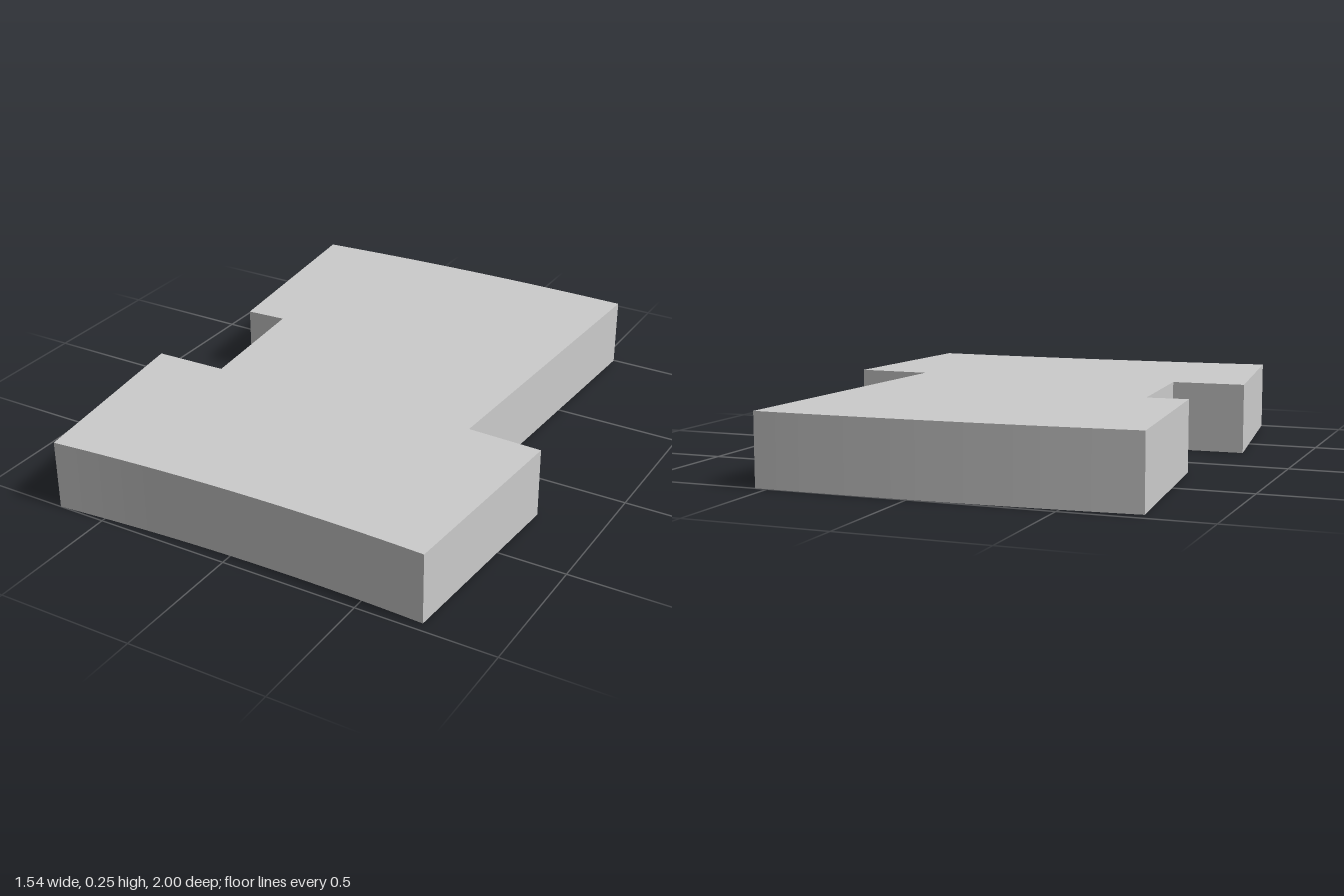
import * as THREE from 'three';

const HEIGHT = 0.255;

export function createModel() {
  const group = new THREE.Group();
  group.name = 'notchedSlab';

  // Plan outline, drawn with shape y = -z
  const outline = new THREE.Shape();
  outline.moveTo(-0.68, -1);
  outline.quadraticCurveTo(0.02, -0.93, 0.725, -0.965); // concave front edge
  // right side with one step
  outline.lineTo(0.768, -0.222);
  outline.lineTo(0.493, -0.213);
  outline.lineTo(0.546, 0.998);
  outline.quadraticCurveTo(-0.11, 1.01, -0.765, 0.95); // bowed back edge
  // left side with a notch
  outline.lineTo(-0.692, 0.198);
  outline.lineTo(-0.543, 0.208);
  outline.lineTo(-0.504, -0.268);
  outline.lineTo(-0.772, -0.276);
  outline.closePath();

  // Raise the outline into a slab lying on the ground
  const geometry = new THREE.ExtrudeGeometry(outline, {
    depth: HEIGHT, bevelEnabled: false, curveSegments: 16,
  });
  geometry.rotateX(-Math.PI / 2);

  const slab = new THREE.Mesh(geometry, new THREE.MeshStandardMaterial({ color: 0xcccccc }));
  slab.name = 'slab';
  group.add(slab);
  return group;
}
